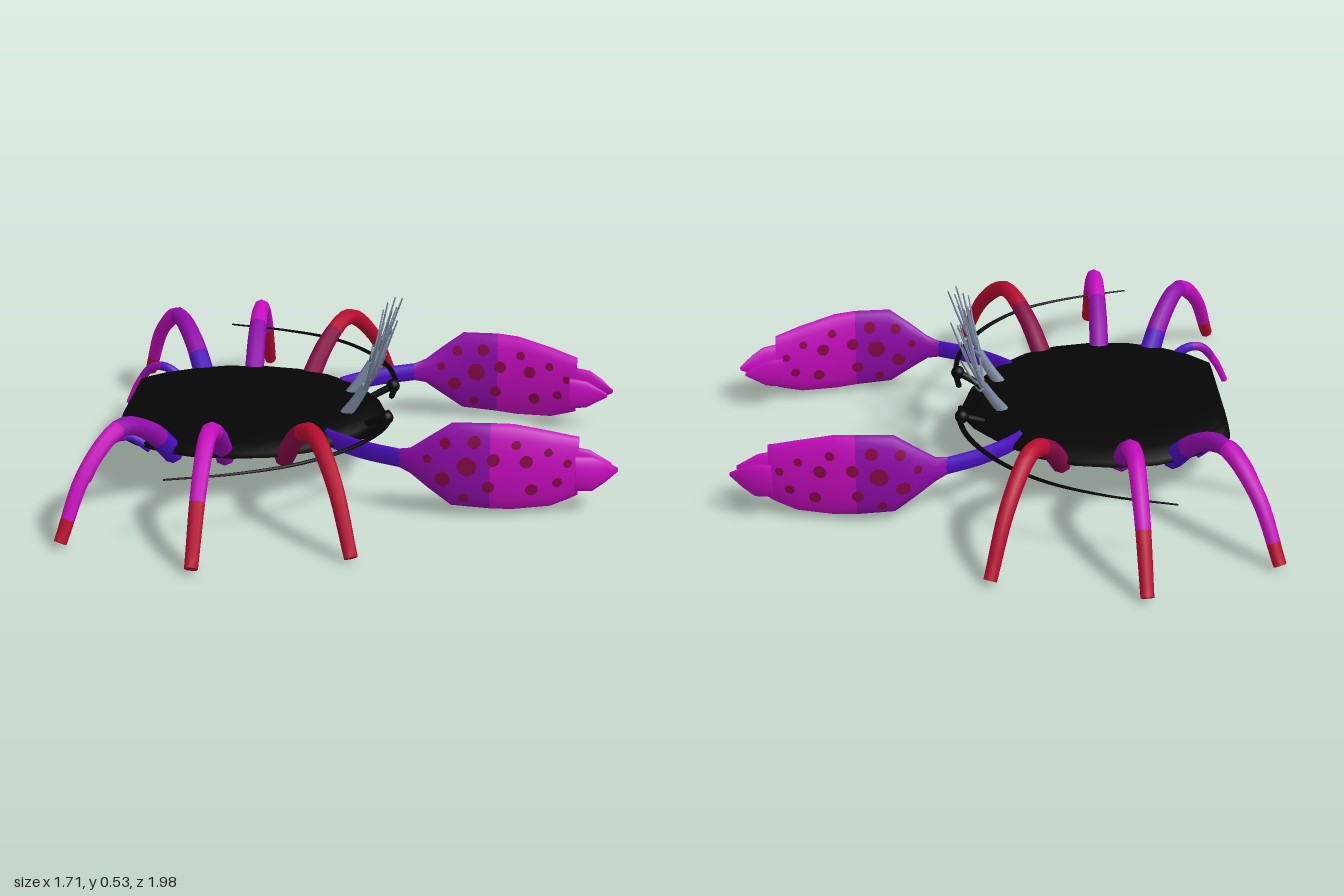
import * as THREE from 'three';

const V = (x, y, z) => new THREE.Vector3(x, y, z);
const mat = (name, color) => new THREE.MeshStandardMaterial({ name, color });

// Skin through rings of points; bands[i] is the material index of segment i
function loft(rings, bands) {
  const n = rings[0].length, pos = [], idx = [];
  const geo = new THREE.BufferGeometry();
  rings.forEach(r => r.forEach(p => pos.push(p.x, p.y, p.z)));
  for (let i = 0; i < rings.length - 1; i++) {
    geo.addGroup(idx.length, n * 6, bands ? bands[i] : 0);
    for (let j = 0; j < n; j++) {
      const a = i * n + j, b = i * n + (j + 1) % n;
      idx.push(a, b, b + n, a, b + n, a + n);
    }
  }
  // flat end caps
  [0, rings.length - 1].forEach((ri, end) => {
    const ring = rings[ri], base = pos.length / 3;
    const c = ring.reduce((s, p) => s.add(p), V(0, 0, 0)).divideScalar(n);
    [c, ...ring].forEach(p => pos.push(p.x, p.y, p.z));
    geo.addGroup(idx.length, n * 3, bands ? bands[end ? bands.length - 1 : 0] : 0);
    for (let j = 0; j < n; j++) {
      const a = base + 1 + j, b = base + 1 + (j + 1) % n;
      if (end) idx.push(base, a, b); else idx.push(base, b, a);
    }
  });
  geo.setAttribute('position', new THREE.Float32BufferAttribute(pos, 3));
  geo.setIndex(idx);
  geo.computeVertexNormals();
  return geo;
}

// Tapered tube along a smooth path; stops = [material index, end fraction]
function limb(points, r0, r1, sides, segs, stops = [[0, 1]]) {
  const curve = new THREE.CatmullRomCurve3(points);
  const { normals, binormals } = curve.computeFrenetFrames(segs);
  const rings = [], bands = [];
  for (let i = 0; i <= segs; i++) {
    const c = curve.getPointAt(i / segs), r = r0 + (r1 - r0) * i / segs;
    rings.push(Array.from({ length: sides }, (_, j) => {
      const a = j / sides * Math.PI * 2;
      return c.clone().addScaledVector(normals[i], r * Math.cos(a)).addScaledVector(binormals[i], r * Math.sin(a));
    }));
    if (i < segs) bands.push(stops.find(s => (i + 0.5) / segs <= s[1])[0]);
  }
  return loft(rings, bands);
}

// Claw stations: x, bottom y, top y, centre z, half thickness
const CLAW = [
  [0.16, 0.148, 0.208, 0.415, 0.012], [0.2, 0.135, 0.22, 0.435, 0.02], [0.26, 0.09, 0.265, 0.447, 0.03],
  [0.33, 0.04, 0.315, 0.455, 0.036], [0.45, 0.03, 0.315, 0.45, 0.038], [0.52, 0.025, 0.31, 0.438, 0.037],
  [0.64, 0.03, 0.28, 0.412, 0.034], [0.7, 0.05, 0.262, 0.395, 0.03], [0.725, 0.06, 0.255, 0.387, 0.026],
];
const FINGERS = [
  [[0.715, 0.09, 0.205, 0.43, 0.023], [0.77, 0.085, 0.2, 0.414, 0.021], [0.81, 0.108, 0.178, 0.395, 0.014], [0.85, 0.136, 0.148, 0.37, 0.003]],
  [[0.7, 0.09, 0.2, 0.328, 0.016], [0.76, 0.095, 0.19, 0.329, 0.013], [0.83, 0.136, 0.148, 0.326, 0.003]],
];
const SPOTS = [
  [0.378, 0.183, 0.031], [0.31, 0.255, 0.018], [0.302, 0.138, 0.024], [0.4, 0.262, 0.021], [0.46, 0.205, 0.021],
  [0.445, 0.115, 0.02], [0.53, 0.25, 0.015], [0.562, 0.195, 0.021], [0.63, 0.22, 0.014], [0.66, 0.12, 0.016],
  [0.58, 0.1, 0.02], [0.69, 0.18, 0.014], [0.255, 0.2, 0.014], [0.37, 0.075, 0.016],
];

function ovalLoft(stations, s, bands) {
  return loft(stations.map(([x, y0, y1, z, w]) => Array.from({ length: 16 }, (_, j) => {
    const a = j / 16 * Math.PI * 2;
    return V(x, (y0 + y1) / 2 + Math.cos(a) * (y1 - y0) / 2, s * z + Math.sin(a) * w);
  })), bands);
}

// Disc pressed on to the claw; side s of the body, face f of the claw
function spot([cx, cy, r], s, f) {
  const geo = new THREE.CircleGeometry(r, 10), p = geo.attributes.position;
  for (let i = 0; i < p.count; i++) {
    const x = cx + f * p.getX(i), y = cy + p.getY(i);
    const k = Math.max(0, CLAW.findLastIndex(c => c[0] <= x));
    const a = CLAW[k], b = CLAW[Math.min(k + 1, CLAW.length - 1)];
    const t = a === b ? 0 : (x - a[0]) / (b[0] - a[0]);
    const [, y0, y1, z, w] = a.map((v, m) => v + (b[m] - v) * t);
    const u = (2 * y - y0 - y1) / (y1 - y0);
    p.setXYZ(i, x, y, s * z + f * (w * Math.sqrt(Math.max(0, 1 - u * u)) + 0.0025));
  }
  geo.computeVertexNormals();
  return geo;
}

export function createModel() {
  const group = new THREE.Group();
  const black = mat('shellBlack', 0x050505), grey = mat('plumeGrey', 0x78869e);
  const indigo = mat('indigo', 0x4c0ec0), purple = mat('purple', 0x920cac);
  const magenta = mat('magenta', 0xc60cbe), crimson = mat('crimson', 0xb80c30), maroon = mat('maroon', 0x860846);
  const skin = [indigo, purple, magenta, crimson, maroon];
  const add = (name, geo, m, parent = group) => {
    const mesh = new THREE.Mesh(geo, m);
    mesh.name = name;
    parent.add(mesh);
    return mesh;
  };

  // Shell: lens-shaped across, blunt at the rear and at the nose
  const half = [[-0.76, 0.26], [-0.69, 0.335], [-0.6, 0.39], [-0.5, 0.425], [-0.36, 0.432], [-0.24, 0.412],
    [-0.13, 0.36], [-0.05, 0.29], [0.02, 0.2], [0.07, 0.11]];
  const outline = [...half, [0.1, 0], ...half.map(([x, z]) => [x, -z]).reverse()];
  // height, width factor, nose length factor
  const layers = [[0.12, 0.62, 0.98], [0.145, 0.86, 1], [0.163, 1, 1], [0.18, 0.99, 0.98], [0.198, 0.84, 0.94], [0.211, 0.64, 0.88], [0.216, 0.3, 0.75]];
  add('shell', loft(layers.map(([y, k, nose]) => outline.map(([x, z]) =>
    V(-0.35 + (x + 0.35) * (x > -0.35 ? nose : 0.97 + 0.03 * k), y, z * k)))), black);

  // Leg paths on the positive z side, with base and tip radius and colour stops
  const legs = [
    ['frontLeg', [[-0.205, 0.145, 0.36], [-0.15, 0.26, 0.47], [-0.085, 0.315, 0.6], [-0.01, 0.21, 0.74], [0.05, 0.022, 0.855]], 0.034, 0.021, [[4, 0.28], [3, 1]]],
    ['middleLeg', [[-0.395, 0.145, 0.36], [-0.4, 0.26, 0.49], [-0.403, 0.324, 0.65], [-0.408, 0.22, 0.82], [-0.413, 0.022, 0.975]], 0.034, 0.021, [[1, 0.3], [2, 0.76], [3, 1]]],
    ['rearLeg', [[-0.56, 0.145, 0.35], [-0.62, 0.26, 0.46], [-0.69, 0.31, 0.58], [-0.775, 0.21, 0.71], [-0.838, 0.022, 0.815]], 0.036, 0.021, [[0, 0.15], [1, 0.45], [2, 0.9], [3, 1]]],
    ['smallLeg', [[-0.64, 0.155, 0.335], [-0.7, 0.195, 0.345], [-0.75, 0.19, 0.355], [-0.8, 0.13, 0.365], [-0.84, 0.05, 0.375]], 0.018, 0.011, [[0, 0.3], [1, 0.6], [2, 1]]],
  ];

  for (const s of [1, -1]) {
    const side = s > 0 ? 'Right' : 'Left';
    const path = pts => pts.map(([x, y, z]) => V(x, y, s * z));
    for (const [name, pts, r0, r1, stops] of legs) add(name + side, limb(path(pts), r0, r1, 8, 20, stops), skin);

    // Claw with arm, spots and two fingers
    const claw = new THREE.Group();
    claw.name = 'claw' + side;
    group.add(claw);
    // the arm is a tall flat strip
    const armGeo = limb(path([[-0.08, 0.178, 0.25], [-0.03, 0.178, 0.3], [0.05, 0.178, 0.36], [0.18, 0.178, 0.425]]), 0.012, 0.012, 8, 10);
    const p = armGeo.attributes.position;
    for (let i = 0; i < p.count; i++) p.setY(i, 0.178 + (p.getY(i) - 0.178) * 2.6);
    armGeo.computeVertexNormals();
    add('arm', armGeo, indigo, claw);
    add('palm', ovalLoft(CLAW, s, [1, 1, 1, 1, 2, 2, 2, 2]), skin, claw);
    FINGERS.forEach((f, i) => add(i ? 'innerFinger' : 'outerFinger', ovalLoft(f, s), magenta, claw));
    for (const f of [1, -1]) SPOTS.forEach(d => add('spot', spot(d, s, f), maroon, claw));

    // Eye and long swept feeler
    add('eye' + side, new THREE.SphereGeometry(0.023, 14, 10).translate(0.105, 0.215, s * 0.157), black);
    add('eyeStalk' + side, limb(path([[0.03, 0.18, 0.13], [0.07, 0.2, 0.145], [0.105, 0.215, 0.157]]), 0.012, 0.012, 8, 4), black);
    add('feeler' + side, limb(path([[0.105, 0.205, 0.08], [0.112, 0.21, 0.18], [0.085, 0.218, 0.32], [0, 0.222, 0.48],
      [-0.14, 0.224, 0.62], [-0.32, 0.222, 0.71], [-0.525, 0.22, 0.77]]), 0.01, 0.003, 6, 30), black);

    // Plume: stem and a fan of fine branches
    const plume = new THREE.Group();
    plume.name = 'plume' + side;
    group.add(plume);
    add('stem', limb(path([[-0.035, 0.2, 0.1], [0, 0.25, 0.108], [0.035, 0.31, 0.12]]), 0.02, 0.014, 8, 5), grey, plume);
    for (let i = 0; i < 11; i++) {
      const a = (i - 5) / 5 * 1.3, dy = 0.05 + (i % 2 ? 0.185 : 0.16) * Math.cos(a), dz = 0.185 * Math.sin(a);
      const dx = dy * 0.37 + (i % 3 - 1) * 0.02;
      add('branch', limb(path([[0.03, 0.3, 0.12], [0.03 + dx * 0.5, 0.3 + dy * 0.4, 0.12 + dz * 0.55],
        [0.03 + dx, 0.3 + dy, 0.12 + dz]]), 0.005, 0.0025, 5, 6), grey, plume);
    }
  }
  return group;
}
